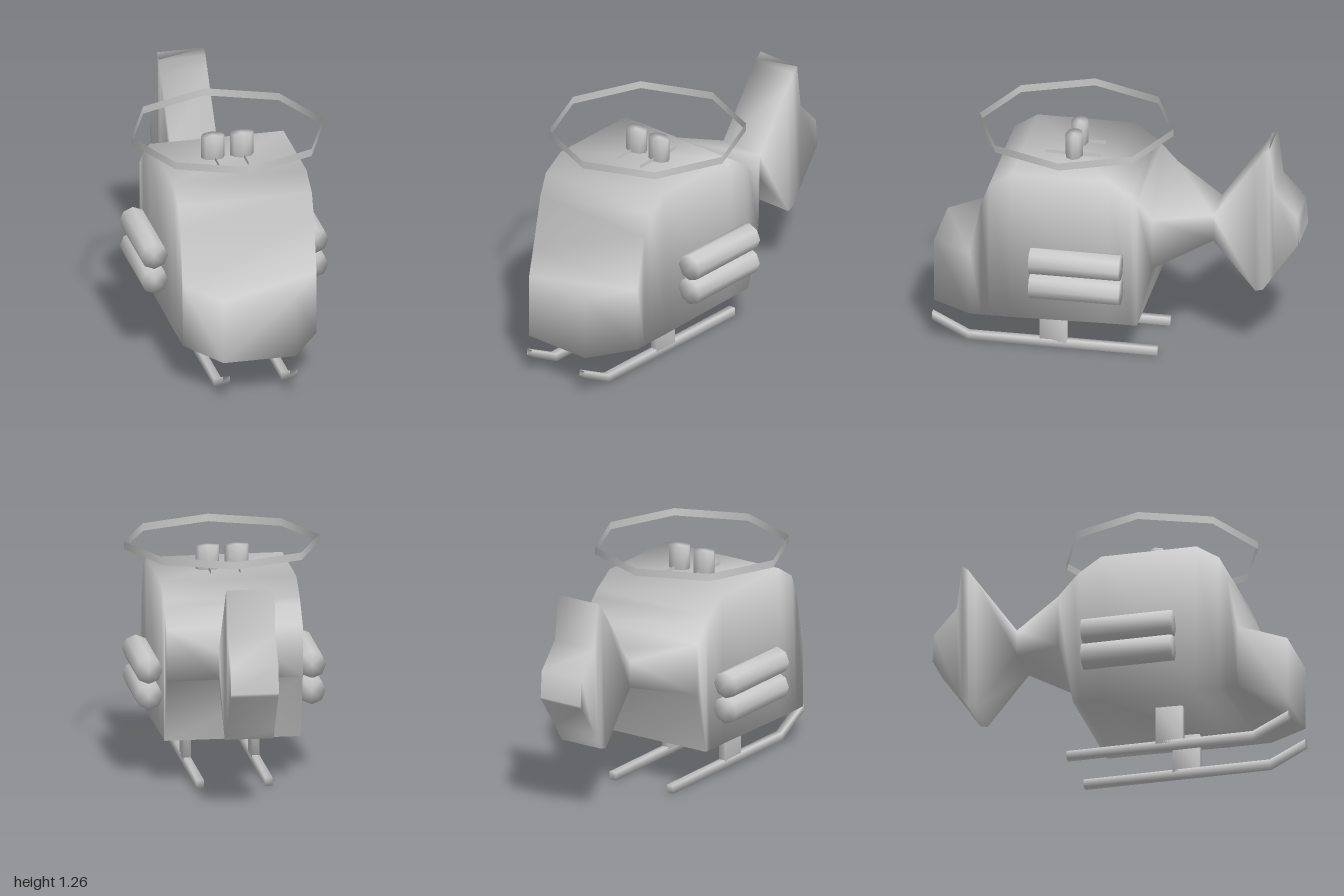
import * as THREE from 'three';
import { mergeVertices } from 'three/addons/utils/BufferGeometryUtils.js';

const material = new THREE.MeshStandardMaterial({ color: 0xcccccc });
const sheet = new THREE.MeshStandardMaterial({ color: 0xcccccc, side: THREE.DoubleSide });

// Closed, smooth-shaded loft of rectangles; stations run front to back as
// [z, half width, top, bottom].
function loft(stations) {
  const pos = [], idx = [];
  for (const [z, w, top, bot] of stations) {
    pos.push(-w, bot, z, w, bot, z, w, top, z, -w, top, z);
  }
  for (let s = 0; s < stations.length - 1; s++) {
    for (let i = 0; i < 4; i++) {
      const a = s * 4 + i, b = s * 4 + (i + 1) % 4;
      idx.push(a, a + 4, b, b, a + 4, b + 4);
    }
  }
  const e = (stations.length - 1) * 4;
  idx.push(0, 1, 2, 0, 2, 3, e, e + 2, e + 1, e, e + 3, e + 2);
  const g = new THREE.BufferGeometry();
  g.setAttribute('position', new THREE.Float32BufferAttribute(pos, 3));
  g.setIndex(idx);
  g.computeVertexNormals();
  return g;
}

// Eight-sided capped cylinder with normals smoothed over its rims.
function softCylinder(radius, height) {
  let g = new THREE.CylinderGeometry(radius, radius, height, 8);
  g.deleteAttribute('normal');
  g.deleteAttribute('uv');
  g = mergeVertices(g);
  g.computeVertexNormals();
  return g;
}

export function createModel() {
  const model = new THREE.Group();
  model.name = 'helicopter';
  const add = (name, geometry, x = 0, y = 0, z = 0, mat = material) => {
    const mesh = new THREE.Mesh(geometry, mat);
    mesh.name = name;
    mesh.position.set(x, y, z);
    model.add(mesh);
    return mesh;
  };

  // Nose, cabin, tail boom and tail fin in one skin
  add('fuselage', loft([
    [0.99, 0.2, 0.58, 0.22],
    [0.76, 0.37, 0.6, 0.24],
    [0.7, 0.37, 0.9, 0.24],
    [0.655, 0.37, 1.02, 0.24],
    [0.53, 0.37, 1.1, 0.24],
    [0, 0.37, 1.1, 0.25],
    [-0.12, 0.37, 1.02, 0.25],
    [-0.155, 0.37, 0.985, 0.25],
    [-0.24, 0.37, 0.89, 0.6],
    [-0.53, 0.13, 0.83, 0.68],
    [-0.76, 0.13, 1.16, 0.4],
    [-0.8, 0.13, 1.22, 0.41],
    [-0.835, 0.13, 1.25, 0.46],
    [-0.865, 0.13, 1.0, 0.51],
    [-0.99, 0.13, 0.86, 0.69],
    [-1, 0.13, 0.71, 0.7],
  ]));

  // Rotor: a thin open eight-sided band
  add('rotorRing', new THREE.CylinderGeometry(0.532, 0.532, 0.042, 8, 1, true), 0, 1.243, 0.245, sheet);

  const pod = softCylinder(0.075, 0.495).rotateX(Math.PI / 2);
  const post = softCylinder(0.065, 0.13).scale(1, 1, 0.72);
  const rail = new THREE.PlaneGeometry(0.3, 0.02).rotateY(Math.PI / 2);
  const skid = loft([
    [1, 0.02, 0.145, 0.105],
    [0.8, 0.02, 0.045, 0],
    [-0.235, 0.02, 0.045, 0],
  ]);
  const strut = loft([
    [0.41, 0.02, 0.26, 0.03],
    [0.26, 0.02, 0.26, 0.03],
  ]);

  for (const [side, s] of [['left', 1], ['right', -1]]) {
    // Side pods, stacked in pairs
    add(side + 'UpperPod', pod, s * 0.445, 0.625, 0.167);
    add(side + 'LowerPod', pod, s * 0.443, 0.48, 0.167);
    // Rotor posts standing on thin roof rails
    add(side + 'RotorPost', post, s * 0.08, 1.163, 0.243);
    add(side + 'RoofRail', rail, s * 0.08, 1.11, 0.25, sheet);
    // Landing gear
    add(side + 'Skid', skid, s * 0.187);
    add(side + 'SkidStrut', strut, s * 0.187);
  }
  return model;
}
